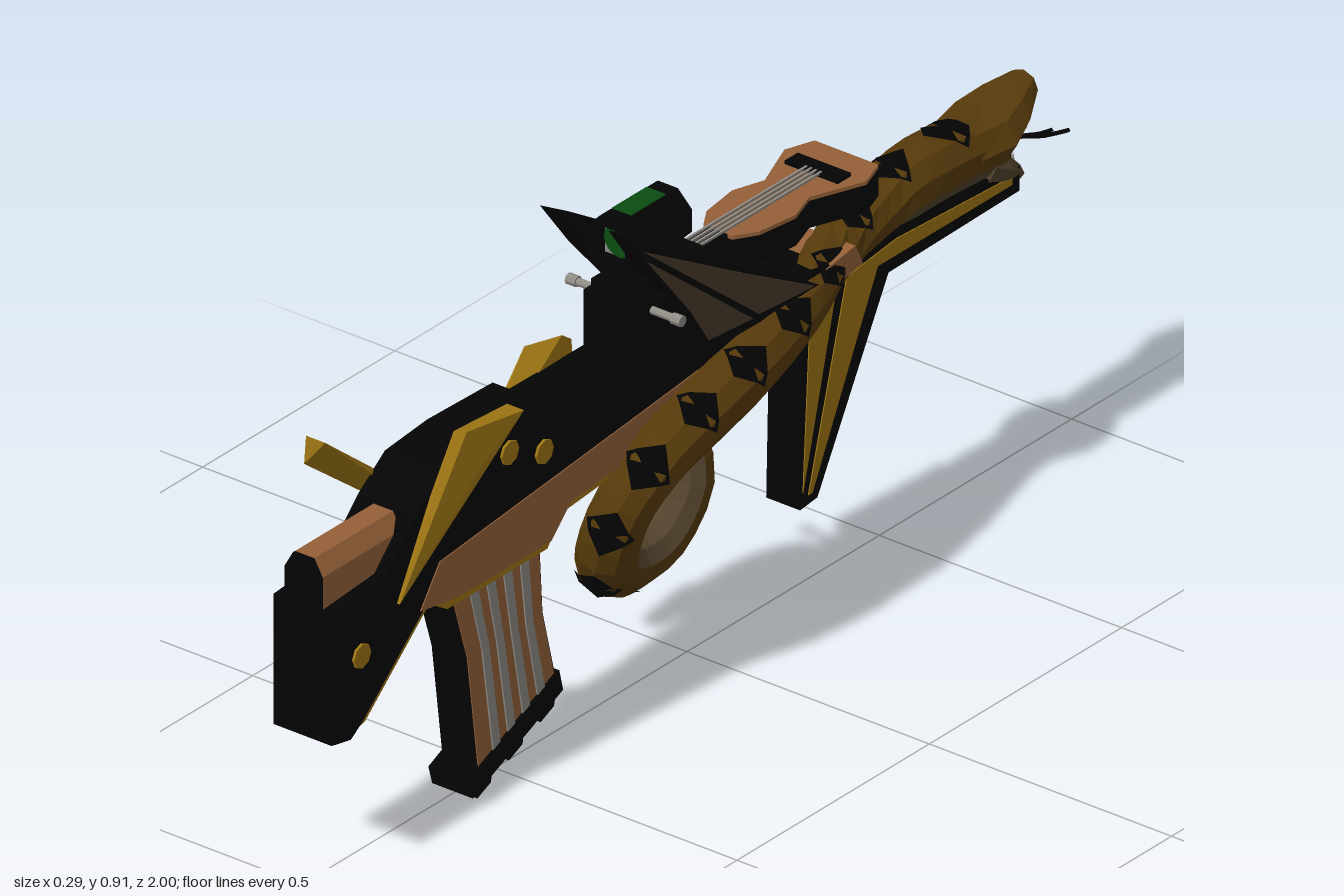
import * as THREE from 'three';
import { ConvexGeometry } from 'three/addons/geometries/ConvexGeometry.js';

const V = (x, y, z) => new THREE.Vector3(x, y, z);

export function createModel() {
  const root = new THREE.Group();
  const mat = (name, color) => Object.assign(new THREE.MeshStandardMaterial({ color }), { name });
  const black = mat('black', 0x040404), copper = mat('copper', 0x946038), gold = mat('gold', 0x9c7414);
  const scale = mat('snake scale', 0x563a0b), belly = mat('snake belly', 0x54442e);
  const silver = mat('silver', 0x8f8b85), green = mat('lens green', 0x0b4d12);
  const bone = mat('bone', 0x93917a), umber = mat('umber', 0x4a3c2b);

  // Adds a faceted mesh
  function add(name, geo, m, x = 0, y = 0, z = 0) {
    const g = geo.index ? geo.toNonIndexed() : geo;
    g.computeVertexNormals();
    const mesh = new THREE.Mesh(g, m);
    mesh.name = name;
    mesh.position.set(x, y, z);
    root.add(mesh);
    return mesh;
  }
  const box = (name, m, w, h, d, x, y, z) => add(name, new THREE.BoxGeometry(w, h, d), m, x, y, z);
  const polygon = pts => new THREE.Shape(pts.map(p => new THREE.Vector2(...p)));
  const extrude = (shape, depth) => new THREE.ExtrudeGeometry(shape, { depth, bevelEnabled: false });
  // Side profile of [z, y] points, extruded from x0 to x1
  function slab(name, m, pts, x0, x1) {
    const g = extrude(polygon(pts.map(([z, y]) => [-z, y])), x1 - x0);
    return add(name, g.rotateY(Math.PI / 2).translate(x0, 0, 0), m);
  }
  const plates = (name, m, pts, x, t = 0.002) => {
    slab(name, m, pts, x, x + t);
    slab(name, m, pts, -x - t, -x);
  };
  // Plan outline of half [x, z] points, mirrored and extruded upward
  function plan(name, m, half, y, h) {
    const pts = [...half, ...half.slice().reverse().map(([x, z]) => [-x, z])];
    return add(name, extrude(polygon(pts.map(([x, z]) => [x, -z])), h).rotateX(-Math.PI / 2), m, 0, y);
  }
  // Cylinder along z
  const rod = (name, m, r0, r1, len, sides, x, y, z, turn = 0) =>
    add(name, new THREE.CylinderGeometry(r0, r1, len, sides).rotateY(turn).rotateX(Math.PI / 2), m, x, y, z);
  // Skin over rings, keeping chosen sides, with end caps
  function loft(rings, keep) {
    const pos = [], n = rings[0].length;
    const tri = (...p) => p.forEach(v => pos.push(v.x, v.y, v.z));
    const mid = r => r.reduce((s, p) => s.add(p), V(0, 0, 0)).divideScalar(n);
    const first = rings[0], last = rings[rings.length - 1];
    for (let j = 0; j < n; j++) {
      if (!keep(j)) continue;
      const k = (j + 1) % n;
      for (let i = 0; i < rings.length - 1; i++) {
        const a = rings[i], b = rings[i + 1];
        tri(a[j], a[k], b[j]);
        tri(a[k], b[k], b[j]);
      }
      tri(mid(first), first[k], first[j]);
      tri(mid(last), last[j], last[k]);
    }
    return new THREE.BufferGeometry().setAttribute('position', new THREE.Float32BufferAttribute(pos, 3));
  }

  // Stock and receiver
  slab('receiver', black, [[1, 0.52], [0.86, 0.53], [0.78, 0.61], [0.71, 0.66], [0.6, 0.67], [0.43, 0.665], [0.39, 0.635],
    [-0.1, 0.63], [-0.3, 0.61], [-0.3, 0.57], [0.3, 0.53], [0.68, 0.49], [0.77, 0.42], [0.92, 0.29], [0.95, 0.27], [1, 0.28]], -0.06, 0.06);
  slab('stockTrim', gold, [[0.7, 0.49], [0.95, 0.3], [0.94, 0.27], [0.9, 0.28], [0.75, 0.41], [0.7, 0.45]], -0.05, 0.05);
  slab('lowerTrim', gold, [[0.76, 0.44], [0.68, 0.39], [0.42, 0.39], [0.38, 0.44], [0.15, 0.46], [0.15, 0.5], [0.7, 0.47]], -0.045, 0.045);
  slab('lowerFurniture', copper, [[0.77, 0.43], [0.72, 0.5], [0.2, 0.55], [-0.1, 0.58], [-0.36, 0.62], [-0.38, 0.58],
    [-0.1, 0.53], [0.15, 0.485], [0.38, 0.465], [0.43, 0.415], [0.67, 0.415]], -0.062, 0.062);
  const cap = polygon([[-0.037, 0], [0.037, 0], [0.037, 0.06], [0.02, 0.09], [-0.02, 0.09], [-0.037, 0.06]]);
  add('cheekRest', extrude(cap, 0.204), copper, 0, 0.52, 0.79);
  add('buttPlate', extrude(cap, 0.006), black, 0, 0.52, 0.994);
  for (const [z, y] of [[0.54, 0.625], [0.45, 0.588], [0.925, 0.415]])
    add('bolt', new THREE.CylinderGeometry(0.022, 0.022, 0.13, 8).rotateZ(Math.PI / 2), gold, 0, y, z);

  // Gold horns on the sides
  const horn = pts => add('sideHorn', new ConvexGeometry(pts.map(p => V(...p))), gold);
  horn([[0.05, 0.47, 0.83], [0.066, 0.47, 0.83], [0.066, 0.73, 0.69], [0.085, 0.73, 0.68], [0.1, 0.72, 0.55], [0.065, 0.72, 0.55], [0.09, 0.66, 0.64]]);
  horn([[-0.05, 0.48, 0.58], [-0.066, 0.48, 0.6], [-0.1, 0.74, 0.865], [-0.06, 0.74, 0.865], [-0.1, 0.69, 0.87], [-0.06, 0.64, 0.74]]);
  horn([[-0.05, 0.51, 0.5], [-0.066, 0.51, 0.5], [-0.09, 0.67, 0.31], [-0.06, 0.675, 0.25], [-0.08, 0.64, 0.2], [-0.06, 0.6, 0.22]]);
  horn([[-0.04, 0.59, -0.25], [-0.06, 0.59, -0.28], [-0.06, 0.665, -0.38], [-0.04, 0.665, -0.38], [-0.04, 0.6, -0.36]]);

  // Curved magazine
  const rear = [[0.67, 0.43], [0.62, 0.27], [0.59, 0.04]], fore = [[0.43, 0.43], [0.42, 0.27], [0.385, 0.13]];
  const across = t => rear.map((p, i) => p.map((v, k) => v + (fore[i][k] - v) * t));
  const band = (a, b) => [...across(a), ...across(b).reverse()];
  slab('magazine', black, band(0, 1), -0.035, 0.035);
  plates('magazineSide', copper, band(0.015, 0.985), 0.035);
  for (let i = 0; i < 4; i++) plates('magazineRib', silver, band(0.19 + i * 0.19, 0.28 + i * 0.19), 0.036, 0.004);
  slab('magazineBase', black, [[0.62, 0.045], [0.61, 0.01], [0.375, 0.11], [0.385, 0.15]], -0.042, 0.042);
  for (const t of [0.05, 0.4, 0.75])
    slab('baseLug', black, [[0.615 - t * 0.235, 0.02 + t * 0.1], [0.61 - t * 0.235, t * 0.1], [0.575 - t * 0.235, 0.015 + t * 0.1], [0.57 - t * 0.235, 0.04 + t * 0.1]], -0.042, 0.042);

  // Fore grip spike with gold stripes
  slab('foreGrip', black, [[-0.26, 0.55], [-0.25, 0.17], [-0.295, 0.175], [-0.48, 0.51], [-0.82, 0.515], [-0.82, 0.56], [-0.5, 0.6]], -0.035, 0.035);
  plates('gripStripe', gold, [[-0.275, 0.53], [-0.256, 0.2], [-0.34, 0.53]], 0.035);
  plates('gripStripe', gold, [[-0.37, 0.55], [-0.27, 0.19], [-0.28, 0.19], [-0.45, 0.535], [-0.8, 0.535], [-0.8, 0.55], [-0.5, 0.565]], 0.035);

  // Raised wings beside the sight, leaning outward
  const lean = (mesh, s) => {
    mesh.rotation.z = -s * 0.05;
    mesh.position.x = s * 0.025;
  };
  const wing = [[0.27, 0.915], [0.2, 0.82], [0.07, 0.67], [0.02, 0.6], [-0.26, 0.595], [-0.2, 0.63], [-0.05, 0.72], [0.2, 0.875]];
  for (const s of [-1, 1]) lean(slab('wing', black, wing, -0.019, 0.019), s);
  for (const stripe of [[[0.215, 0.848], [0.09, 0.698], [0.04, 0.625], [-0.075, 0.615]], [[0.225, 0.87], [-0.09, 0.617], [-0.235, 0.606], [-0.05, 0.71]]])
    lean(slab('wingStripe', umber, stripe, 0.019, 0.022), 1);

  // Sight with a hooded rear lens
  box('sightMount', black, 0.11, 0.11, 0.2, 0, 0.685, 0.1);
  box('sightRail', black, 0.08, 0.03, 0.2, 0, 0.75, 0.1);
  box('sightPost', black, 0.04, 0.05, 0.1, 0, 0.775, 0.12);
  rod('sightBody', black, 0.054, 0.054, 0.12, 8, 0, 0.838, 0.11, Math.PI / 8);
  const circle = (r, n, a0) => Array.from({ length: n }, (_, i) => [r * Math.cos(a0 + i / n * Math.PI * 2), r * Math.sin(a0 + i / n * Math.PI * 2)]);
  const hood = polygon(circle(0.054, 8, Math.PI / 8));
  hood.holes.push(polygon(circle(0.044, 4, Math.PI / 4)));
  add('sightHood', extrude(hood, 0.032), black, 0, 0.838, 0.168);
  box('lensFrame', silver, 0.062, 0.062, 0.006, 0, 0.838, 0.171);
  rod('rearLens', green, 0.031, 0.031, 0.006, 16, 0, 0.838, 0.174);
  rod('lensRing', silver, 0.043, 0.043, 0.006, 16, 0, 0.84, 0.048);
  rod('frontLens', green, 0.029, 0.029, 0.006, 16, 0, 0.84, 0.044);
  box('sightPlate', green, 0.04, 0.004, 0.09, 0, 0.8875, 0.125);
  for (const s of [-1, 1]) {
    add('sideKnob', new THREE.CylinderGeometry(0.007, 0.007, 0.07, 8).rotateZ(Math.PI / 2), silver, s * 0.083, 0.722, 0.16);
    add('knobHead', new THREE.CylinderGeometry(0.01, 0.01, 0.02, 8).rotateZ(Math.PI / 2), silver, s * 0.108, 0.722, 0.16);
  }

  // Stringed instrument on top
  const outline = [[0.03, -0.08], [0.055, -0.12], [0.066, -0.2], [0.046, -0.26], [0.085, -0.36], [0.066, -0.415]];
  plan('instrumentBody', black, outline, 0.69, 0.05);
  plan('instrumentTop', copper, outline, 0.74, 0.007);
  box('instrumentNeck', black, 0.04, 0.05, 0.18, 0, 0.722, -0.01);
  box('bridge', black, 0.11, 0.008, 0.035, 0, 0.749, -0.34);
  for (let i = 0; i < 4; i++) box('string', silver, 0.004, 0.004, 0.37, -0.015 + i * 0.01, 0.7525, -0.145);

  // Snake: [x, y, z, radius] from neck to tail
  const path = [[0, 0.617, -0.775, 0.056], [0, 0.63, -0.6, 0.06], [0, 0.615, -0.48, 0.052], [0.01, 0.59, -0.36, 0.046],
    [0.05, 0.56, -0.22, 0.048], [0.085, 0.54, -0.06, 0.053], [0.096, 0.515, 0.08, 0.054], [0.09, 0.475, 0.19, 0.053],
    [0.06, 0.39, 0.248, 0.052], [0.022, 0.285, 0.238, 0.052], [-0.022, 0.218, 0.14, 0.05], [-0.03, 0.225, 0.03, 0.048],
    [-0.025, 0.32, -0.033, 0.046], [-0.06, 0.43, 0, 0.044], [-0.09, 0.465, 0.1, 0.038], [-0.107, 0.485, 0.25, 0.028]];
  const spine = new THREE.CatmullRomCurve3(path.map(p => V(p[0], p[1], p[2])));
  const girth = new THREE.CatmullRomCurve3(path.map((p, i) => V(i, p[3], 0)));
  const hub = V(0, 0.36, 0.12), SIDES = 10;
  // Point on the skin; side 0 is the back, pointing away from the coil centre
  function skin(t, side, grow = 1) {
    const p = spine.getPoint(t), T = spine.getTangent(t), N = p.clone().sub(hub);
    N.addScaledVector(T, -N.dot(T)).normalize();
    const B = T.clone().cross(N), a = side / SIDES * Math.PI * 2, r = girth.getPoint(t).y * grow;
    return p.addScaledVector(N, r * Math.cos(a)).addScaledVector(B, r * Math.sin(a));
  }
  const rings = Array.from({ length: 49 }, (_, i) => Array.from({ length: SIDES }, (_, j) => skin(i / 48, j)));
  const under = j => j >= 3 && j <= 6;
  add('snakeBody', loft(rings, j => !under(j)), scale);
  add('snakeBelly', loft(rings, under), belly);
  // Folded diamond markings along the back
  for (let i = 0; i < 15; i++) {
    const t = 0.04 + i * 0.063, d = 0.021, lift = 1.04;
    const f = skin(t - d, 0, lift), b = skin(t + d, 0, lift), c = skin(t, 0, lift);
    const pts = [];
    for (const s of [1, -1]) {
      const edge = [f, skin(t - d / 3, s, lift), skin(t, s * 1.5, lift), skin(t + d / 3, s, lift), b];
      for (let k = 0; k < 4; k++) pts.push(c, ...(s > 0 ? [edge[k], edge[k + 1]] : [edge[k + 1], edge[k]]));
    }
    add('diamondMark', new THREE.BufferGeometry().setFromPoints(pts), black);
  }

  // Snake head: [z, y, half width, half height]
  const jaw = rows => rows.map(([z, y, w, h]) => Array.from({ length: 8 }, (_, j) => {
    const a = j / 8 * Math.PI * 2;
    return V(w * Math.sin(a), y + h * Math.cos(a), z);
  }));
  const roof = j => j === 3 || j === 4;
  const upper = jaw([[-0.7, 0.63, 0.058, 0.055], [-0.765, 0.637, 0.075, 0.05], [-0.82, 0.655, 0.058, 0.042], [-0.875, 0.676, 0.03, 0.027]]);
  add('upperHead', loft(upper, j => !roof(j)), scale);
  add('palate', loft(upper, roof), black);
  const lower = jaw([[-0.74, 0.597, 0.052, 0.045], [-0.79, 0.57, 0.05, 0.035], [-0.84, 0.537, 0.03, 0.018]]);
  const floor = j => j === 0 || j === 7;
  add('lowerJaw', loft(lower, j => !floor(j)), belly);
  add('mouthFloor', loft(lower, floor), black);
  rod('throat', black, 0.052, 0.052, 0.008, 10, 0, 0.615, -0.777);
  for (const s of [-1, 1]) {
    add('fang', new THREE.ConeGeometry(0.007, 0.055, 5).rotateX(Math.PI), bone, s * 0.022, 0.635, -0.855);
    add('lowerTooth', new THREE.ConeGeometry(0.005, 0.03, 5), bone, s * 0.018, 0.565, -0.825);
    const fork = new THREE.CatmullRomCurve3([V(0, 0.6, -0.76), V(0, 0.585, -0.86), V(-0.01 + s * 0.005, 0.555, -0.93), V(-0.02 + s * 0.018, 0.533 + s * 0.006, -0.995)]);
    add('tongue', new THREE.TubeGeometry(fork, 8, 0.004, 4), black);
  }

  // Rattle, tilted upward
  for (let i = 0; i < 4; i++) {
    const r = 0.04 - i * 0.004;
    const ring = rod('rattleSegment', bone, r * 0.75, r, 0.038, 6, -0.108, 0.487 + i * 0.008, 0.262 + i * 0.032);
    ring.rotation.x = -0.25;
  }
  return root;
}
